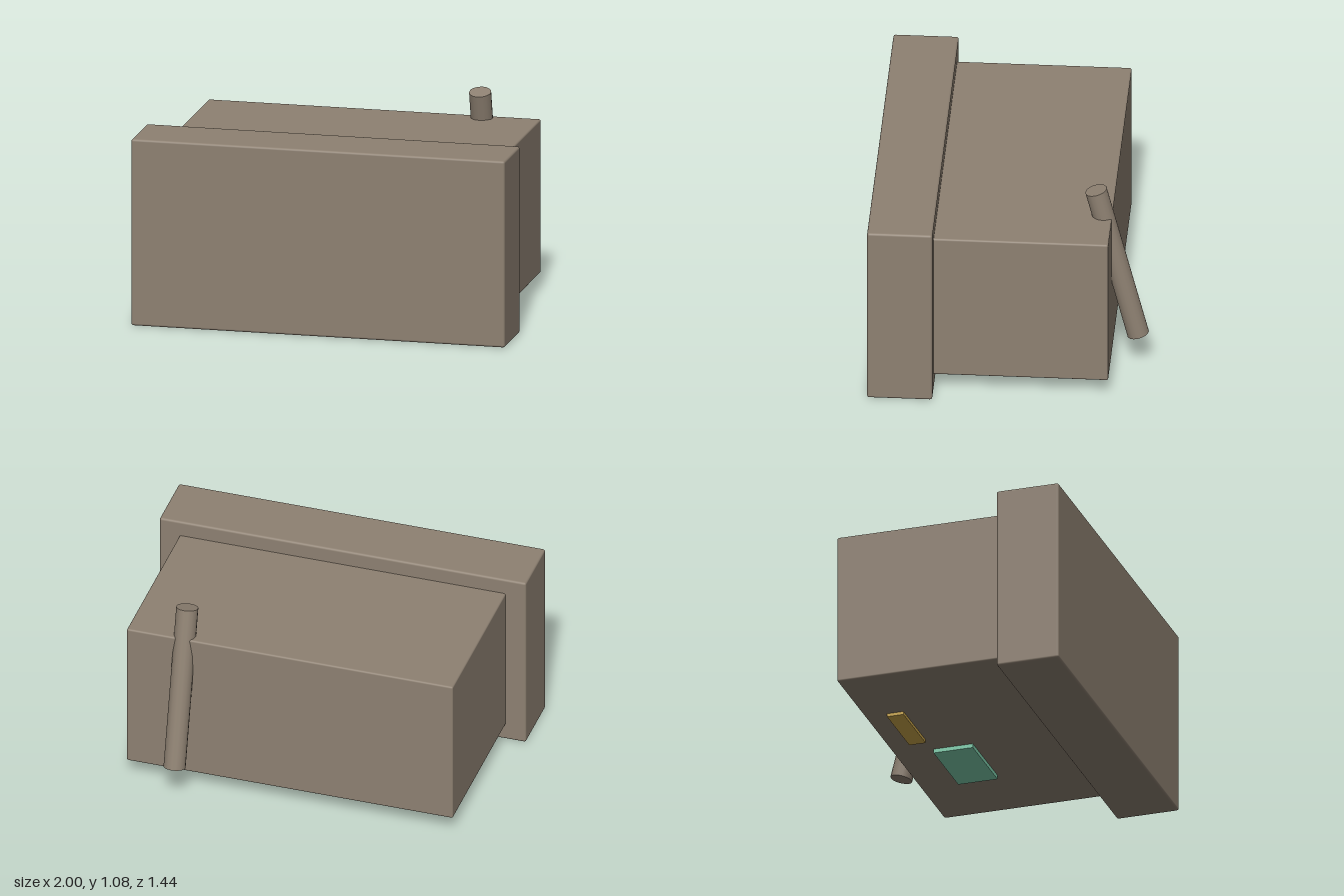
import * as THREE from 'three';
import { RoundedBoxGeometry } from 'three/addons/geometries/RoundedBoxGeometry.js';

function material(name, color) {
  const m = new THREE.MeshStandardMaterial({ color });
  m.name = name;
  return m;
}

export function createModel() {
  const group = new THREE.Group();
  group.name = 'boxUnit';
  const taupe = material('taupe', 0x8e8172);
  const green = material('mintGreen', 0x7ecdab);
  const yellow = material('mustardYellow', 0xc9a54a);

  // Places a geometry as a named part
  function add(name, geometry, mat, x, y, z) {
    const mesh = new THREE.Mesh(geometry, mat);
    mesh.name = name;
    mesh.position.set(x, y, z);
    group.add(mesh);
    return mesh;
  }

  // Wide front slab and the smaller body behind it, both with slightly eased edges
  add('frontSlab', new RoundedBoxGeometry(2, 1, 0.34, 2, 0.012), taupe, 0, 0.5, 0.55);
  add('rearBody', new RoundedBoxGeometry(1.78, 0.825, 0.925, 2, 0.01), taupe, 0, 0.5025, -0.0675);

  // Leaning rod that pokes through the top back edge
  const rod = add('leaningRod', new THREE.CylinderGeometry(0.058, 0.058, 0.89, 16), taupe, 0.585, 0.631, -0.556);
  rod.rotation.x = 0.249;

  // Small plates under the body
  add('greenPlate', new THREE.BoxGeometry(0.41, 0.03, 0.215), green, 0.265, 0.083, -0.2075);
  add('yellowPlate', new THREE.BoxGeometry(0.37, 0.025, 0.09), yellow, -0.245, 0.0855, -0.363);

  return group;
}
